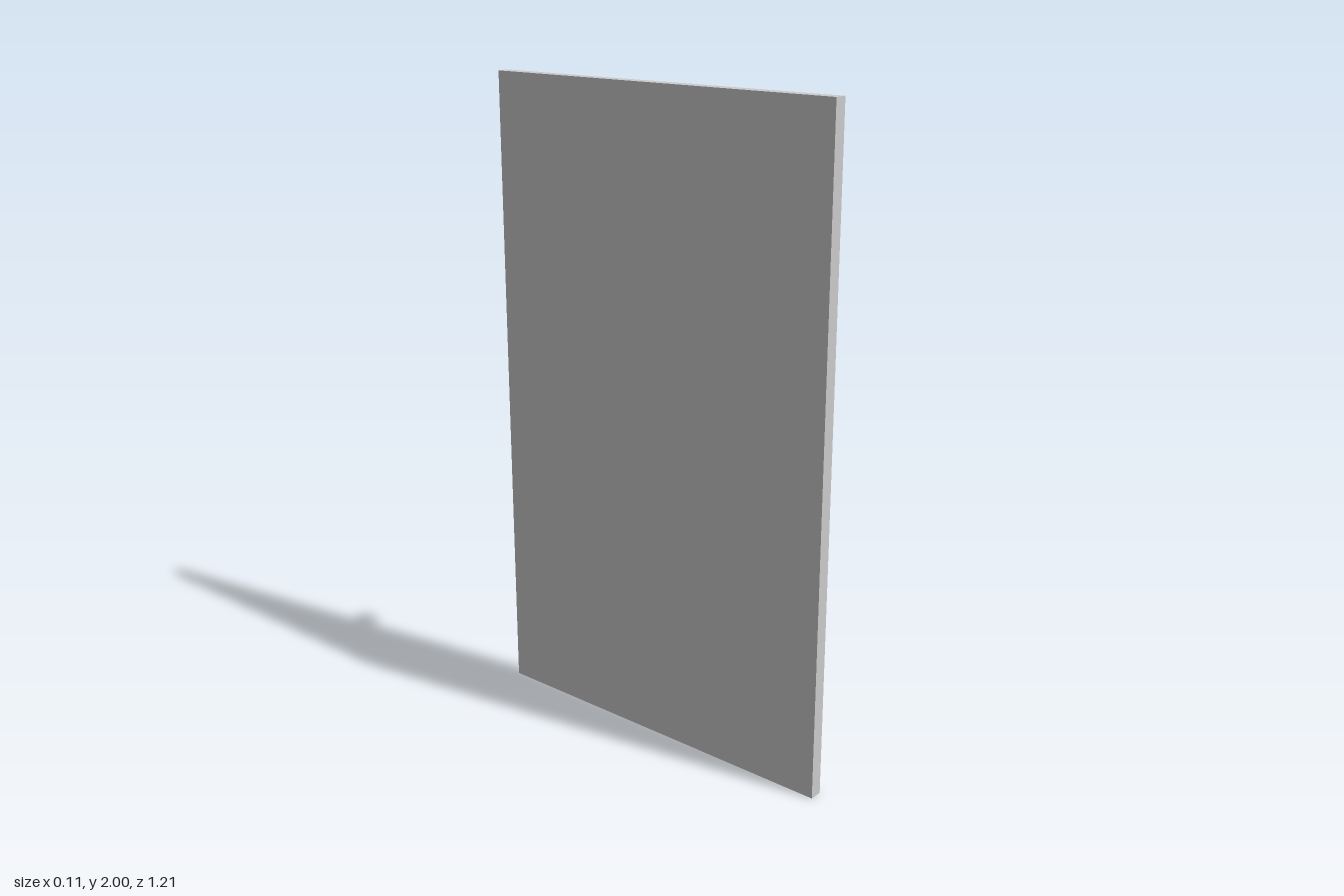
import * as THREE from 'three';

const HALF_WIDTH = 0.603, HEIGHT = 2;
const BACK = -0.055, RECESS = -0.027, FACE = -0.015;

function rectangle(Type, x0, y0, x1, y1) {
  return new Type([
    new THREE.Vector2(x0, y0), new THREE.Vector2(x1, y0),
    new THREE.Vector2(x1, y1), new THREE.Vector2(x0, y1),
  ]);
}

export function createModel() {
  const group = new THREE.Group();
  const material = new THREE.MeshStandardMaterial({ color: 0xcccccc });

  function add(name, geometry) {
    const mesh = new THREE.Mesh(geometry, material);
    mesh.name = name;
    group.add(mesh);
    return mesh;
  }

  // Solid slab behind the frame, whose face shows as the two sunken panels
  const slab = add('doorSlab', new THREE.BoxGeometry(RECESS - BACK, HEIGHT, HALF_WIDTH * 2));
  slab.position.set((BACK + RECESS) / 2, HEIGHT / 2, 0);

  // Raised frame of stiles and rails around the two panel openings
  const outline = rectangle(THREE.Shape, -HALF_WIDTH, 0, HALF_WIDTH, HEIGHT);
  for (const [bottom, top] of [[0.146, 0.936], [1.071, 1.862]]) {
    outline.holes.push(rectangle(THREE.Path, -0.48, bottom, 0.48, top));
  }
  const frame = add('doorFrame', new THREE.ExtrudeGeometry(outline, { depth: FACE - RECESS, bevelEnabled: false }));
  frame.rotation.y = Math.PI / 2;
  frame.position.x = RECESS;

  // Round knob, turned from bands of [radius, distance from the face], with crisp edges between bands
  const knob = new THREE.Group();
  knob.name = 'doorKnob';
  const profile = [[0.029, 0], [0.029, 0.027], [0.038, 0.039], [0.038, 0.061], [0.033, 0.069], [0, 0.069]];
  const names = ['knobShaft', 'knobFlare', 'knobRim', 'knobBevel', 'knobCap'];
  names.forEach((name, i) => {
    const points = [profile[i], profile[i + 1]].map(([r, y]) => new THREE.Vector2(r, y));
    knob.add(add(name, new THREE.LatheGeometry(points, 32)));
  });
  knob.rotation.z = -Math.PI / 2;
  knob.position.set(FACE, 0.995, -0.513);
  group.add(knob);

  return group;
}
